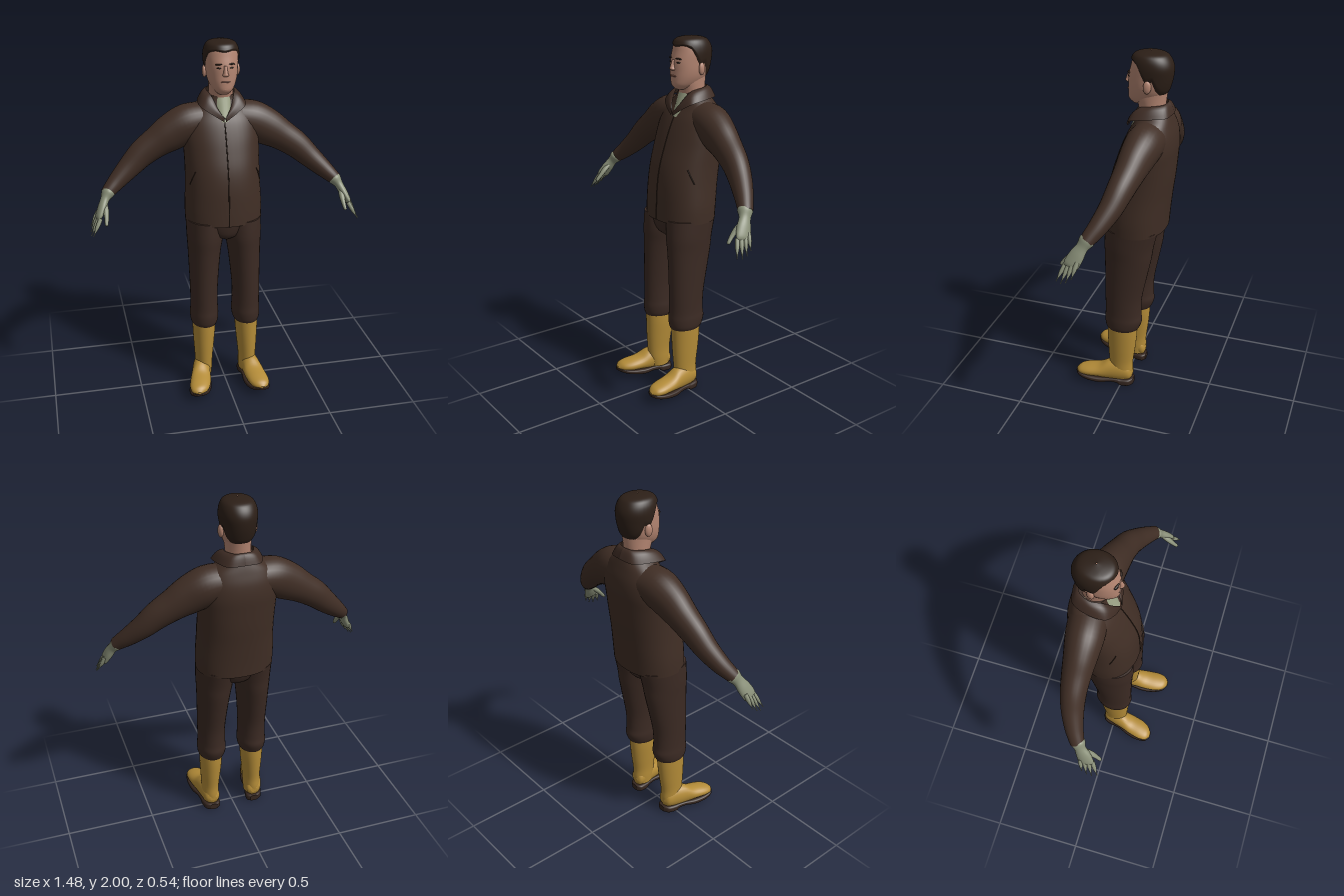
import * as THREE from 'three';

const mat = (name, color, side = THREE.FrontSide) => {
  const m = new THREE.MeshStandardMaterial({ color, side });
  m.name = name;
  return m;
};
const V = (x, y, z) => new THREE.Vector3(x, y, z);
const Z = V(0, 0, 1), X = V(1, 0, 0);

// Smooth interpolation of a list of number rows at fractional index v
function rowAt(rows, v) {
  const n = rows.length - 1, i = Math.min(n - 1, Math.max(0, Math.floor(v))), t = v - i;
  const a = rows[Math.max(0, i - 1)], b = rows[i], c = rows[i + 1], d = rows[Math.min(n, i + 2)];
  return b.map((q, k) => q + 0.5 * t * (c[k] - a[k] + t * (2 * a[k] - 5 * q + 4 * c[k] - d[k] + t * (3 * (q - c[k]) + d[k] - a[k]))));
}

// Surface through oval sections [x, y, z, radius across, radius along ref]
function surface(rows, { ref = Z, level = null, p = 1 } = {}) {
  const n = rows.length - 1;
  const pw = (q) => Math.sign(q) * Math.pow(Math.abs(q), p);
  return (th, v) => {
    const [x, y, z, a, b] = rowAt(rows, v);
    let t = level;
    if (!t) {
      const r0 = rowAt(rows, Math.max(0, v - 0.3)), r1 = rowAt(rows, Math.min(n, v + 0.3));
      t = V(r1[0] - r0[0], r1[1] - r0[1], r1[2] - r0[2]).normalize();
    }
    const u = ref.clone().addScaledVector(t, -ref.dot(t)).normalize();
    const w = t.clone().cross(u);
    return V(x, y, z).addScaledVector(w, Math.max(a, 0.0005) * pw(Math.sin(th))).addScaledVector(u, Math.max(b, 0.0005) * pw(Math.cos(th)));
  };
}

// Grid of faces over fn(s, t), closed round s when wrap is set, with end caps
function grid(fn, nu, nv, wrap = true, caps = true) {
  const pos = [], idx = [], w = wrap ? nu : nu + 1;
  for (let j = 0; j <= nv; j++) for (let i = 0; i < w; i++) pos.push(...fn(i / nu, j / nv).toArray());
  for (let j = 0; j < nv; j++) for (let i = 0; i < nu; i++) {
    const a = j * w + i, b = j * w + (i + 1) % w, c = a + w, d = b + w;
    idx.push(a, b, c, b, d, c);
  }
  if (wrap && caps) for (const j of [0, nv]) {
    const base = pos.length / 3, mid = V(0, 0, 0);
    for (let i = 0; i < nu; i++) {
      const q = fn(i / nu, j / nv);
      mid.addScaledVector(q, 1 / nu);
      pos.push(...q.toArray());
    }
    pos.push(...mid.toArray());
    for (let i = 0; i < nu; i++) {
      const a = base + i, b = base + (i + 1) % nu;
      idx.push(base + nu, ...(j ? [a, b] : [b, a]));
    }
  }
  const g = new THREE.BufferGeometry();
  g.setAttribute('position', new THREE.Float32BufferAttribute(pos, 3));
  g.setIndex(idx);
  g.computeVertexNormals();
  return g;
}
function loft(rows, opt = {}, sides = 28, steps = 5) {
  const f = surface(rows, opt), n = rows.length - 1;
  return grid((s, t) => f(s * Math.PI * 2, t * n), sides, n * steps);
}

export function createModel() {
  const root = new THREE.Group();
  root.name = 'workman';
  const jacket = mat('jacket brown', 0x402e25), trouser = mat('trouser brown', 0x3b2a23);
  const collarMat = mat('collar brown', 0x3e2c24, THREE.DoubleSide);
  const boot = mat('boot yellow', 0xb48c38), sole = mat('sole brown', 0x35261f);
  const glove = mat('glove green', 0x8a9079), shirt = mat('shirt green', 0x9aa084);
  const skin = mat('skin', 0xb58672), lip = mat('lip', 0x8f5f50), hair = mat('hair and trim', 0x2c1f17);
  const add = (name, geo, m) => {
    const o = new THREE.Mesh(geo, m);
    o.name = name;
    root.add(o);
    return o;
  };
  const ball = (name, m, x, y, z, a, b, c) => {
    const o = add(name, new THREE.SphereGeometry(1, 16, 12), m);
    o.position.set(x, y, z);
    o.scale.set(a, b, c);
    return o;
  };
  const cord = (name, pts, r) => add(name, new THREE.TubeGeometry(new THREE.CatmullRomCurve3(pts), 24, r, 6), hair);
  const flat = { level: V(0, 1, 0) };

  // Jacket body
  const body = [
    [.005, 1.015, -.055, .213, .165], [.005, 1.1, -.06, .214, .167], [.005, 1.22, -.07, .208, .17],
    [.005, 1.32, -.085, .206, .168], [.005, 1.42, -.105, .208, .157], [.005, 1.5, -.122, .21, .145],
    [.005, 1.57, -.134, .198, .126], [.005, 1.63, -.143, .158, .1], [.005, 1.675, -.142, .1, .085], [.005, 1.705, -.137, .078, .075]];
  const bodyOpt = { ...flat, p: 0.9 };
  add('jacketBody', loft(body, bodyOpt, 44), jacket);
  const bodyAt = surface(body, bodyOpt);
  const line = (th, v0, v1) => Array.from({ length: 9 }, (_, i) => bodyAt(th(i / 8), v0 + (v1 - v0) * i / 8));
  cord('zip', line(() => 0, 0.05, 6.1), 0.003);
  for (const s of [1, -1]) cord('pocketSlit', line((t) => s * (1.2 - 0.28 * t), 2.2, 3.0), 0.003);

  // Shirt, neck and folded collar
  add('shirt', loft([[.008, 1.575, -.09, .06, .082], [.008, 1.63, -.11, .064, .079], [.008, 1.685, -.13, .069, .078], [.008, 1.705, -.133, .067, .074]], flat), shirt);
  add('neck', loft([[.008, 1.62, -.13, .068, .07], [.008, 1.7, -.128, .066, .071], [.008, 1.76, -.12, .068, .085], [.008, 1.8, -.12, .07, .09]], flat), skin);
  for (const s of [1, -1]) {
    const curve = (pts) => new THREE.CatmullRomCurve3(pts.map(([x, y, z]) => V(.005 + s * x, y, z)));
    const inner = curve([[0, 1.592, .002], [.035, 1.65, -.026], [.062, 1.71, -.075], [.075, 1.727, -.14], [.045, 1.732, -.198], [0, 1.735, -.212]]);
    const outer = curve([[.005, 1.58, .004], [.075, 1.625, -.012], [.122, 1.655, -.045], [.125, 1.672, -.14], [.085, 1.675, -.225], [0, 1.68, -.245]]);
    add('collar', grid((u, v) => {
      const q = inner.getPoint(u).lerp(outer.getPoint(u), v);
      q.y += 0.014 * Math.sin(Math.PI * v);
      return q;
    }, 30, 6, false), collarMat);
  }

  // Head
  const skull = [
    [.008, 1.722, -.06, .03, .035], [.008, 1.745, -.085, .055, .082], [.008, 1.78, -.1, .073, .1], [.008, 1.82, -.109, .083, .108],
    [.008, 1.87, -.116, .087, .113], [.008, 1.92, -.123, .089, .108], [.008, 1.96, -.12, .08, .094], [.008, 1.983, -.117, .058, .068], [.008, 1.993, -.117, .003, .003]];
  add('head', loft(skull, { ...flat, p: 0.95 }, 36), skin);
  const headAt = surface(skull, { ...flat, p: 0.95 });

  // Hair cap: a shell above a hairline that dips at the sideburns and nape
  const hairline = [5.6, 5.7, 5.8, 5.7, 5.4, 4.5, 3.6, 3.8, 2.8, 2.2, 2, 1.9, 1.9];
  add('hair', grid((s, t) => {
    const th = s * Math.PI * 2, k = Math.min(th, Math.PI * 2 - th) / Math.PI * 12;
    const i = Math.min(11, Math.floor(k)), low = hairline[i] + (hairline[i + 1] - hairline[i]) * (k - i);
    const q = headAt(th, low + (8 - low) * t), lift = 0.008 * Math.min(1, 0.2 + t * 8);
    const out = V(q.x - .008, 0, q.z + .117);
    q.addScaledVector(out.normalize(), lift * Math.min(1, (1 - t) * 5));
    q.y += lift * 0.85 * t;
    return q;
  }, 72, 28, true, false), hair);

  // Face
  add('nose', loft([[.008, 1.823, -.004, .01, .008], [.008, 1.832, 0, .017, .017], [.008, 1.845, -.001, .012, .016], [.008, 1.88, -.007, .008, .009]], flat, 16), skin);
  ball('mouth', lip, .008, 1.795, -.004, .026, .005, .008);
  ball('chin', skin, .008, 1.756, -.022, .03, .02, .022);
  for (const s of [1, -1]) {
    ball('ear', skin, .008 + s * .09, 1.832, -.125, .013, .034, .021).rotation.y = s * 0.25;
    ball('eye', hair, .008 + s * .034, 1.867, -.012, .012, .004, .006).rotation.y = s * 0.4;
    const brow = ball('eyebrow', hair, .008 + s * .036, 1.887, -.012, .02, .004, .006);
    brow.rotation.set(0, s * 0.4, s * -0.08);
  }

  // Hips
  add('hips', loft([[.005, .915, -.035, .03, .08], [.005, .95, -.04, .12, .125], [.005, 1.03, -.05, .2, .15]], flat), trouser);

  for (const s of [1, -1]) {
    const side = s > 0 ? 'left' : 'right';
    // The right arm is carried slightly further back
    const arm = (rows) => rows.map(([x, y, z, a, b]) => [s * x, y, z - (s < 0 ? .055 * THREE.MathUtils.clamp((x - .2) / .4, 0, 1) : 0), a, b]);

    add(side + 'Sleeve', loft(arm([
      [.09, 1.565, -.14, .095, .1], [.18, 1.545, -.132, .108, .1], [.27, 1.5, -.118, .102, .088], [.35, 1.452, -.105, .085, .077],
      [.43, 1.397, -.088, .075, .068], [.5, 1.333, -.065, .063, .06], [.57, 1.27, -.03, .05, .05], [.615, 1.23, -.002, .04, .042], [.638, 1.21, .012, .034, .037]])), jacket);

    // Glove
    add(side + 'Palm', loft(arm([
      [.615, 1.232, 0, .024, .028], [.63, 1.215, .01, .036, .041], [.65, 1.185, .028, .024, .032],
      [.67, 1.145, .05, .023, .04], [.69, 1.105, .07, .018, .042], [.697, 1.09, .076, .01, .034]])), glove);
    for (let f = 0; f < 4; f++) {
      const k = (f - 1.5) * .021, len = [.85, 1, 1.04, .92][f];
      add(side + 'Finger', loft(arm([0, .45, .85, 1].map((t) => [
        .688 + .05 * t * len - k * .15, 1.112 - .092 * t * len - k * .3, .07 + k + t * (.028 + k * .3), [.012, .011, .009, .003][Math.round(t * 3)], [.012, .011, .009, .003][Math.round(t * 3)]])), {}, 12, 4), glove);
    }
    add(side + 'Thumb', loft(arm([[.655, 1.165, .05, .014, .016], [.652, 1.135, .085, .014, .016], [.653, 1.105, .113, .012, .012], [.657, 1.078, .136, .009, .009], [.658, 1.073, .14, .002, .002]]), { ref: X }, 12, 4), glove);

    // Trouser leg, gathered over the boot top
    const leg = (rows) => rows.map(([x, y, z, a, b]) => [s * x + .004, y, z, a, b]);
    add(side + 'TrouserLeg', loft(leg([
      [.123, .39, -.002, .07, .09], [.123, .41, -.004, .078, .1], [.122, .45, -.008, .081, .108], [.122, .5, -.007, .078, .104],
      [.122, .6, -.009, .078, .106], [.118, .74, -.022, .085, .12], [.113, .85, -.032, .093, .132], [.108, .93, -.036, .102, .139], [.105, 1.03, -.05, .106, .148]]), flat, 32), trouser);

    // Boot, toe turned outward
    const turn = s > 0 ? .11 : .22;
    const foot = (rows) => rows.map(([y, z, a, b]) => [s * ((s > 0 ? .134 : .127) + (z + .05) * turn), y, s > 0 ? z : z * (z > 0 ? .94 : 1), a, b]);
    add(side + 'BootShaft', loft(leg([
      [.131, .05, 0, .047, .06], [.131, .1, .002, .05, .068], [.13, .16, .005, .051, .071],
      [.128, .25, .002, .058, .08], [.126, .34, -.001, .064, .086], [.126, .42, -.002, .066, .088]]), flat), boot);
    add(side + 'BootFoot', loft(foot([
      [.08, -.064, .015, .02], [.085, -.048, .05, .043], [.09, 0, .07, .051], [.087, .07, .066, .054],
      [.077, .13, .043, .06], [.071, .2, .034, .059], [.067, .245, .025, .043], [.064, .268, .006, .012]]), { ref: X, level: Z }), boot);
    add(side + 'BootSole', loft(foot([
      [.023, -.07, .018, .022], [.022, -.05, .022, .046], [.022, -.005, .022, .051], [.03, .015, .016, .05], [.033, .06, .014, .052],
      [.03, .12, .017, .063], [.037, .19, .015, .063], [.047, .245, .012, .047], [.053, .27, .007, .016]]), { ref: X, level: Z, p: 0.5 }, 32), sole);
  }
  return root;
}
